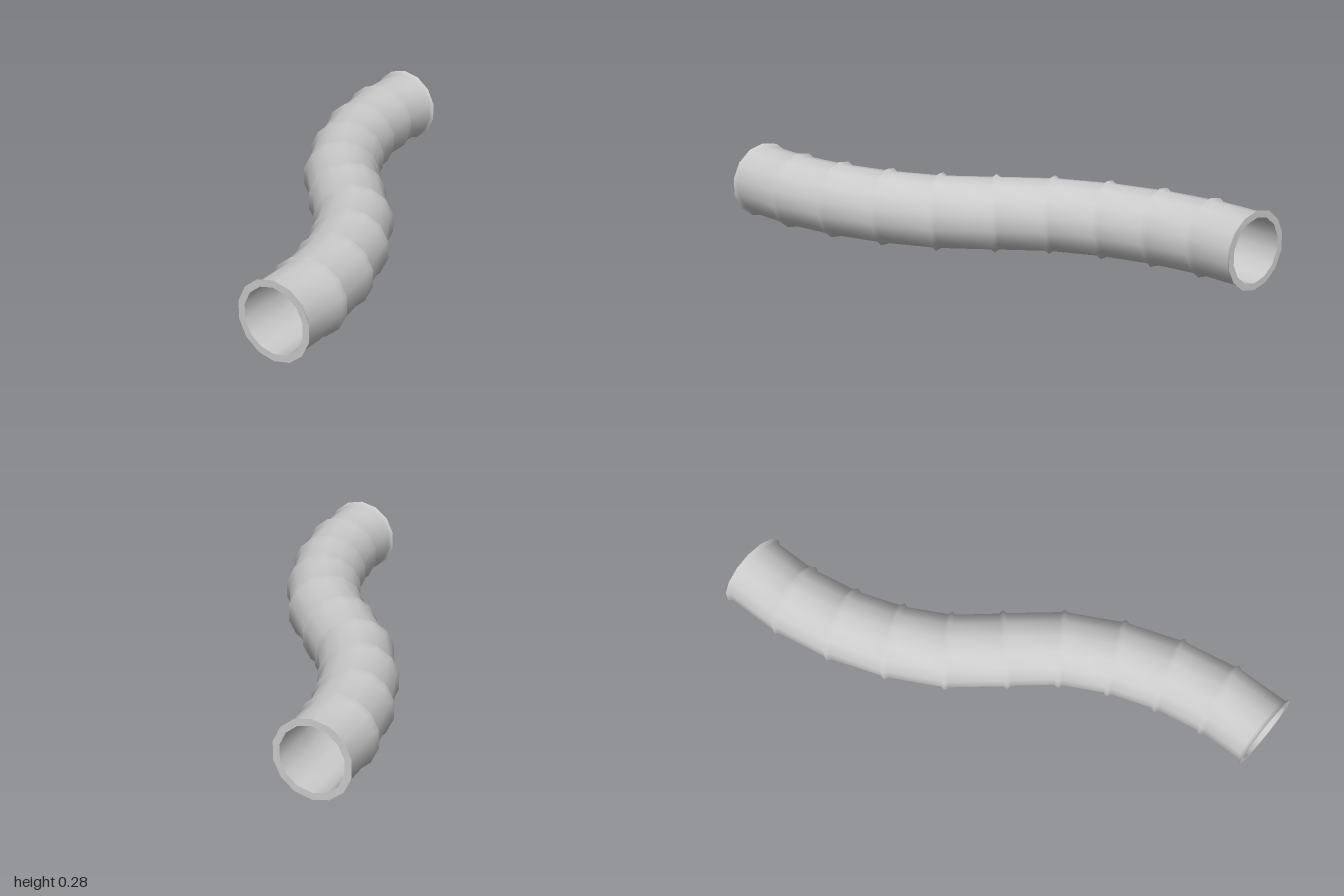
import * as THREE from 'three';

const SIDES = 14;
const CENTER_Y = 0.1385;
const R_RIDGE = 0.1385, R_TUBE = 0.128, R_BORE = 0.114, RIDGE_HALF = 0.014;

// Joints of the front half: [x, z, turn in degrees]; the back half is its half-turn copy
const half = [
  [0.04, 0.193, -5], [0.041, 0.386, 4.6], [0.012, 0.577, 13.5],
  [-0.045, 0.76, 21.5], [-0.131, 0.9315, 30],
];
const joints = [
  ...half.map(([x, z, t]) => [-x, -z, t]).reverse(),
  [0, 0, -13.8],
  ...half,
];

// One cross-section at a joint, slid along the pipe by `shift`
const section = ([x, z, deg], radius, shift = 0) => {
  const t = THREE.MathUtils.degToRad(deg);
  const cx = x - Math.sin(t) * shift, cz = z + Math.cos(t) * shift;
  return Array.from({ length: SIDES }, (_, j) => {
    const a = (j / SIDES) * Math.PI * 2;
    const s = radius * Math.sin(a);
    return [cx + s * Math.cos(t), CENTER_Y + radius * Math.cos(a), cz + s * Math.sin(t)];
  });
};

// Skin a row of closed cross-sections with smooth normals
function loft(name, rows, material) {
  const index = [];
  for (let i = 0; i < rows.length - 1; i++) {
    for (let j = 0; j < SIDES; j++) {
      const k = (j + 1) % SIDES;
      const a = i * SIDES + j, b = i * SIDES + k;
      index.push(a, a + SIDES, b, b, a + SIDES, b + SIDES);
    }
  }
  const geo = new THREE.BufferGeometry();
  geo.setAttribute('position', new THREE.Float32BufferAttribute(rows.flat(2), 3));
  geo.setIndex(index);
  geo.computeVertexNormals();
  const mesh = new THREE.Mesh(geo, material);
  mesh.name = name;
  return mesh;
}

export function createModel() {
  const group = new THREE.Group();
  group.name = 'bentPipe';
  const material = new THREE.MeshStandardMaterial({ color: 0xcccccc });
  const last = joints.length - 1;

  // Outer wall: straight lengths with a narrow ridge at every joint
  const outer = [];
  joints.forEach((joint, i) => {
    if (i > 0) outer.push(section(joint, R_TUBE, -RIDGE_HALF));
    outer.push(section(joint, R_RIDGE));
    if (i < last) outer.push(section(joint, R_TUBE, RIDGE_HALF));
  });
  group.add(loft('outerWall', outer, material));

  // Bore, run front to back so that it faces inward
  const bore = joints.map((joint) => section(joint, R_BORE)).reverse();
  group.add(loft('innerWall', bore, material));

  // Flat rims closing the wall at both ends
  const front = joints[last], back = joints[0];
  group.add(loft('frontRim', [section(front, R_RIDGE), section(front, R_BORE)], material));
  group.add(loft('backRim', [section(back, R_BORE), section(back, R_RIDGE)], material));

  return group;
}
